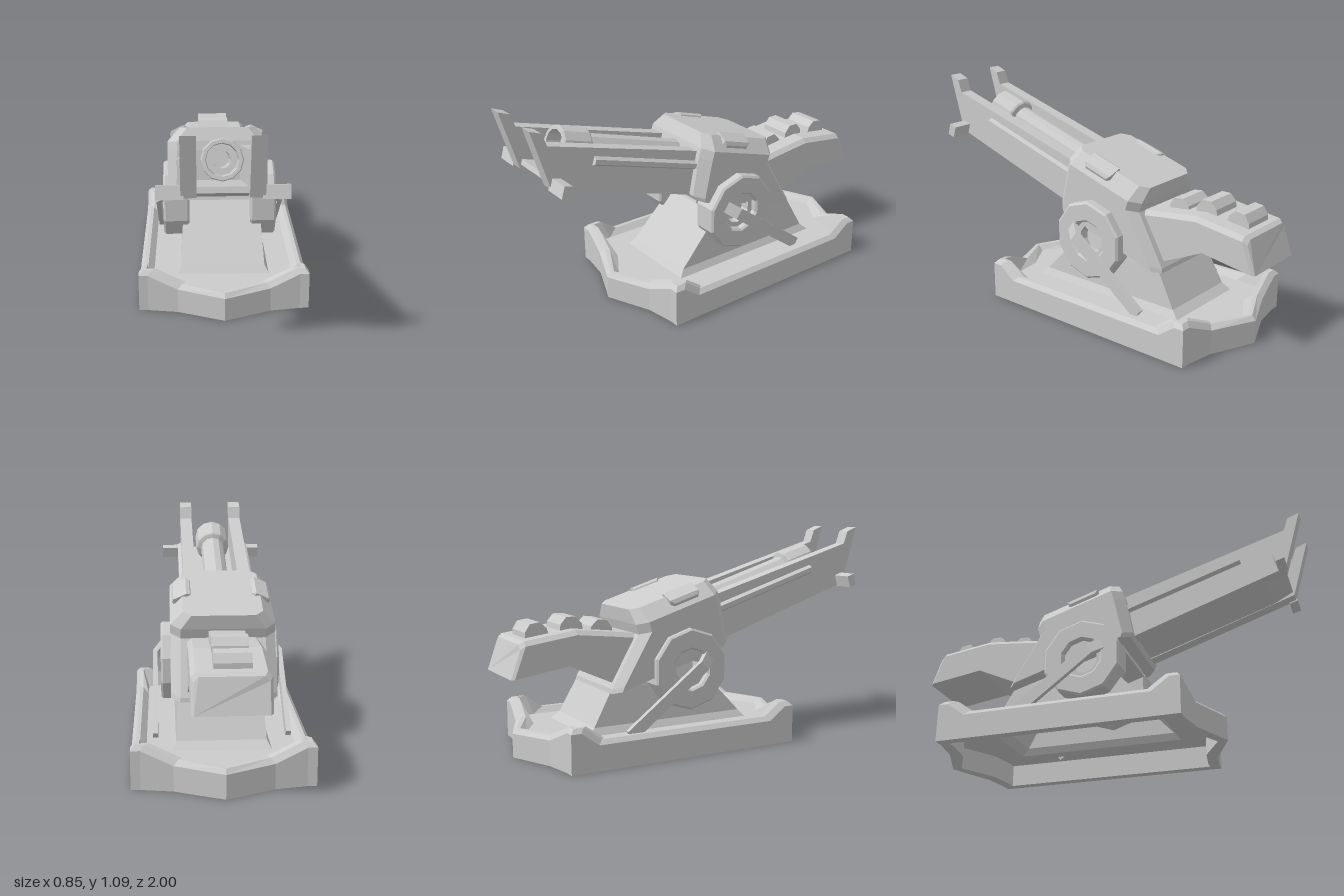
import * as THREE from 'three';

const mat = new THREE.MeshStandardMaterial({ color: 0xcccccc, flatShading: true });
const matOpen = new THREE.MeshStandardMaterial({ color: 0xcccccc, flatShading: true, side: THREE.DoubleSide });

function add(parent, name, geo, x = 0, y = 0, z = 0, material = mat) {
  const m = new THREE.Mesh(geo, material);
  m.name = name;
  m.position.set(x, y, z);
  parent.add(m);
  return m;
}

const toShape = points => new THREE.Shape(points.map(p => new THREE.Vector2(...p)));

// Side profile given as [z, y], extruded across x and centred on it.
function slab(points, width, bevel = 0, hole = null) {
  const shape = toShape(points);
  if (hole) shape.holes.push(toShape(hole));
  const depth = width - 2 * bevel;
  const g = new THREE.ExtrudeGeometry(shape, {
    depth, bevelEnabled: bevel > 0, bevelSize: bevel, bevelOffset: -bevel, bevelThickness: bevel, bevelSegments: 1,
  });
  return g.translate(0, 0, -depth / 2).rotateY(-Math.PI / 2);
}

// Skin over closed rings of [x, y, z]; rings run from +x towards +z, bottom to top.
function loft(rings, cap = false) {
  const n = rings[0].length, pos = rings.flat(2), idx = [];
  for (let i = 0; i < rings.length - 1; i++)
    for (let j = 0; j < n; j++) {
      const k = (j + 1) % n, a = i * n + j, b = i * n + k;
      idx.push(a, a + n, b, b, a + n, b + n);
    }
  if (cap) {
    const t = (rings.length - 1) * n;
    for (let j = 1; j < n - 1; j++) idx.push(t, t + j + 1, t + j, 0, j, j + 1);
  }
  const g = new THREE.BufferGeometry();
  g.setAttribute('position', new THREE.Float32BufferAttribute(pos, 3));
  g.setIndex(idx);
  g.computeVertexNormals();
  return g;
}

// Rectangle in plan with cut corners.
function plan(y, hw, zf, zr, c) {
  return [[hw, zr + c], [hw, zf - c], [hw - c, zf], [c - hw, zf],
    [-hw, zf - c], [-hw, zr + c], [c - hw, zr], [hw - c, zr]].map(([x, z]) => [x, y, z]);
}

const polygon = (n, r) => Array.from({ length: n }, (_, i) => {
  const a = Math.PI / 2 + i * 2 * Math.PI / n;
  return [r * Math.cos(a), r * Math.sin(a)];
});

function buildBase(root) {
  const base = new THREE.Group();
  base.name = 'base';
  root.add(base);

  // Outline of one quarter as [x, z, rim height], mirrored both ways
  const zc = -0.195;
  const quarter = [[0.425, 0.28, 0.145], [0.425, 0.37, 0.21], [0.425, 0.42, 0.21],
    [0.38, 0.42, 0.21], [0.23, 0.445, 0.145], [0, 0.544, 0.14]];
  const front = [...quarter, ...quarter.slice(0, -1).reverse().map(([x, z, h]) => [-x, z, h])];
  const outline = [...front, ...front.map(([x, z, h]) => [-x, 2 * zc - z, h])];
  const ring = (d, height) => outline.map(([x, z, h]) =>
    [x - Math.sign(x) * d, height(h), z - Math.sign(z - zc) * d]);
  add(base, 'baseRim', loft([ring(0.05, () => 0.115), ring(0.05, () => 0), ring(0, () => 0),
    ring(0, h => h - 0.022), ring(0.02, h => h), ring(0.04, h => h), ring(0.07, () => 0.115)]), 0, 0, 0, matOpen);

  // Floor with an opening under the hollow pedestal
  const floor = toShape(ring(0.05, () => 0).map(([x, , z]) => [x, -z]));
  floor.holes.push(toShape([[0.235, -0.25], [0.235, 0.64], [-0.235, 0.64], [-0.235, -0.25]]));
  add(base, 'baseFloor', new THREE.ShapeGeometry(floor).rotateX(-Math.PI / 2), 0, 0.115, 0, matOpen);

  const level = (y, hw, zf, zr) => [[hw, y, zr], [hw, y, zf], [-hw, y, zf], [-hw, y, zr]];
  add(base, 'pedestal', loft([level(0.115, 0.235, 0.25, -0.64), level(0.15, 0.215, 0.22, -0.6),
    level(0.33, 0.205, 0.05, -0.5), level(0.46, 0.19, -0.07, -0.42)]), 0, 0, 0, matOpen);
}

function buildPivots(root) {
  // Bent brace in outline: straight leg, then turned in to the wheel
  const braceOutline = [[0.311, -0.5], [0.336, -0.5], [0.336, 0.01], [0.275, 0.105], [0.25, 0.105], [0.311, 0]];
  for (const s of [1, -1]) {
    const side = new THREE.Group();
    side.name = s > 0 ? 'leftPivot' : 'rightPivot';
    side.position.x = -0.011;
    root.add(side);
    add(side, 'pivotWheel', slab(polygon(10, 0.205), 0.135, 0.01, polygon(10, 0.1)), s * 0.227, 0.405, -0.11);
    add(side, 'pivotInnerRing', slab(polygon(10, 0.102), 0.09, 0, polygon(10, 0.072)), s * 0.215, 0.405, -0.11);
    const outline = s > 0 ? braceOutline : braceOutline.map(([x, y]) => [-x, y]);
    const strap = new THREE.ExtrudeGeometry(toShape(outline), { depth: 0.06, bevelEnabled: false });
    add(side, 'brace', strap.translate(0, 0, -0.03), 0, 0.42, -0.065).rotation.x = 0.93;
  }
}

function buildGun(root) {
  // Tilted frame: z runs along the barrel
  const gun = new THREE.Group();
  gun.name = 'gun';
  gun.position.set(-0.022, 0.405, -0.11);
  gun.rotation.x = -0.3;
  root.add(gun);

  add(gun, 'housing', loft([plan(0.03, 0.257, 0.255, -0.415, 0.04), plan(0.05, 0.257, 0.275, -0.405, 0.045),
    plan(0.25, 0.257, 0.295, -0.19, 0.05), plan(0.3, 0.257, 0.295, -0.19, 0.05),
    plan(0.37, 0.195, 0.28, -0.18, 0.04)], true));
  add(gun, 'housingKeel', new THREE.BoxGeometry(0.33, 0.06, 0.44), 0, 0.024, -0.02);

  for (const s of [1, -1]) {
    const rail = [[0.2, 0.045], [1.09, 0.06], [1.262, 0.322], [1.2, 0.318], [1.158, 0.262], [0.2, 0.28]];
    add(gun, 'sideRail', slab(rail, 0.068), s * 0.147);
    add(gun, 'crossbarStub', new THREE.BoxGeometry(0.12, 0.062, 0.045), s * 0.228, 0.084, 1.075);
    const rod = add(gun, 'railRod', new THREE.CylinderGeometry(0.023, 0.023, 0.62, 6), s * 0.182, 0.205, 0.59);
    rod.rotation.x = Math.PI / 2;
    const lug = add(gun, 'housingLug',
      slab([[-0.085, -0.04], [0.085, -0.04], [0.085, 0.04], [-0.085, 0.04]], 0.1, 0.015), s * 0.19, 0.333, 0.093);
    lug.rotation.z = -s * 0.45;
  }
  add(gun, 'railFloor', slab([[0.2, 0.05], [0.98, 0.06], [1.09, 0.08], [1.09, 0.107], [0.2, 0.1]], 0.24));

  // Barrel, muzzle collar and stepped bore in one turned profile
  const profile = [[0.066, 0.2], [0.066, 0.84], [0.088, 0.85], [0.094, 0.86], [0.094, 1], [0.09, 1.008],
    [0.074, 1.008], [0.07, 0.93], [0.04, 0.93], [0.04, 0.7], [0, 0.7]].map(p => new THREE.Vector2(...p));
  add(gun, 'barrel', new THREE.LatheGeometry(profile, 12).rotateX(Math.PI / 2), 0, 0.219, 0, matOpen);
}

function buildTail(root) {
  const tail = new THREE.Group();
  tail.name = 'tail';
  tail.position.x = -0.022;
  root.add(tail);
  // Sections towards the back: distance at top and bottom, top height, bottom height, half width
  const c = 0.022;
  const section = ([dt, db, top, bot, hw]) => [[hw, db, bot], [hw, dt, top - c], [hw - c, dt, top],
    [c - hw, dt, top], [-hw, dt, top - c], [-hw, db, bot]];
  add(tail, 'tailBlock', loft([[0.33, 0.33, 0.585, 0.4, 0.178], [0.5, 0.5, 0.606, 0.36, 0.178],
    [0.673, 0.716, 0.625, 0.458, 0.178], [0.93, 0.985, 0.59, 0.418, 0.178],
    [0.952, 1, 0.575, 0.415, 0.165]].map(section), true).rotateX(-Math.PI / 2));
  // Raised ridges across the top
  const ridge = [[-0.06, -0.02], [0.06, -0.02], [0.055, 0.015], [0.025, 0.05], [-0.025, 0.05], [-0.055, 0.015]];
  for (const [z, y, tilt] of [[-0.51, 0.607, 0.11], [-0.668, 0.631, 0], [-0.845, 0.612, -0.14]])
    add(tail, 'tailRidge', slab(ridge, 0.17), -0.008, y, z).rotation.x = tilt;
}

export function createModel() {
  const root = new THREE.Group();
  root.name = 'cannon';
  buildBase(root);
  buildPivots(root);
  buildGun(root);
  buildTail(root);
  return root;
}
